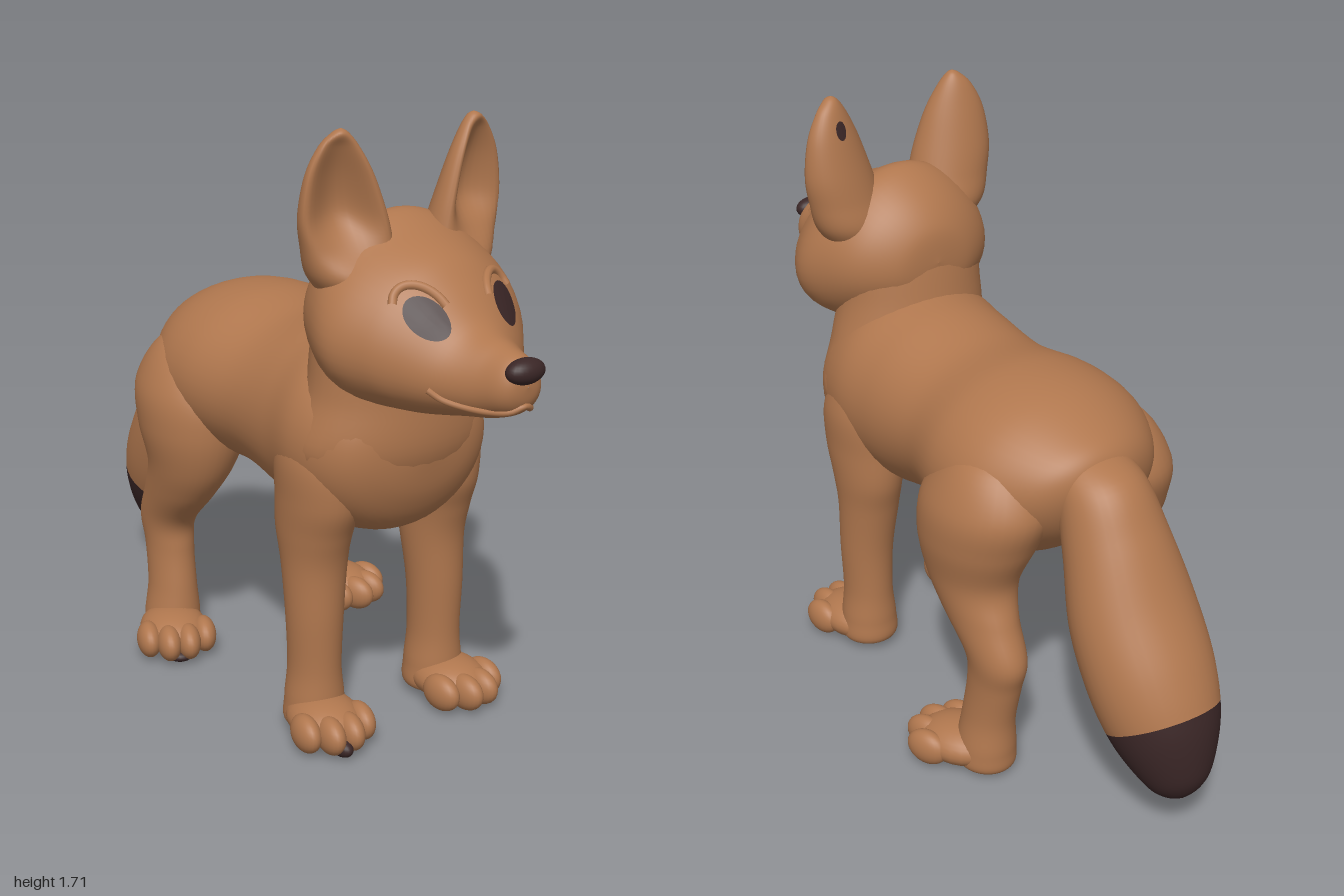
import * as THREE from 'three';

const fur = new THREE.MeshStandardMaterial({ color: 0xb0774e });
fur.name = 'brown fur';
const dark = new THREE.MeshStandardMaterial({ color: 0x3a2626 });
dark.name = 'dark brown';

const HEAD_X = -0.055;

function add(parent, name, geometry, material = fur) {
  const mesh = new THREE.Mesh(geometry, material);
  mesh.name = name;
  parent.add(mesh);
  return mesh;
}

function spline(a, b, c, d, t) {
  return 0.5 * (2 * b + (c - a) * t + (2 * a - 5 * b + 4 * c - d) * t * t + (3 * b - a - 3 * c + d) * t * t * t);
}

// Smooth skin over elliptical sections [x, y, z, halfWidth, halfHeight, dent].
// angle turns the section plane: 0 runs forward, 90 down, -90 up.
function loft(sections, { angle = 0, taper = 0, from = 0, to = sections.length - 1, sides = 36 } = {}) {
  const a = THREE.MathUtils.degToRad(angle);
  const last = sections.length - 1;
  const rows = Math.ceil((to - from) * 7);
  const at = (i, k) => sections[Math.min(Math.max(i, 0), last)][k] ?? 0;
  const pos = [], index = [];
  for (let r = 0; r <= rows; r++) {
    const t = from + (to - from) * r / rows;
    const i = Math.min(Math.floor(t), last - 1);
    const [x, y, z, w, h, dent] = [0, 1, 2, 3, 4, 5].map(k => spline(at(i - 1, k), at(i, k), at(i + 1, k), at(i + 2, k), t - i));
    const rw = Math.max(w, 0.001), rh = Math.max(h, 0.001);
    for (let j = 0; j < sides; j++) {
      const th = j / sides * Math.PI * 2;
      const s = Math.sin(th);
      const v = rh * (s < 0 ? s * (1 - dent * s * s) : s);
      pos.push(x + rw * Math.cos(th) * (1 - taper * s), y + v * Math.cos(a), z + v * Math.sin(a));
      if (r < rows) {
        const p = r * sides + j, q = r * sides + (j + 1) % sides;
        index.push(p, q, p + sides, q, q + sides, p + sides);
      }
    }
  }
  const g = new THREE.BufferGeometry();
  g.setAttribute('position', new THREE.Float32BufferAttribute(pos, 3));
  g.setIndex(index);
  g.computeVertexNormals();
  return g;
}

function ellipsoid(x, y, z, rx, ry, rz) {
  return new THREE.SphereGeometry(1, 24, 16).scale(rx, ry, rz).translate(x, y, z);
}

// Depth of a surface at (x, y), seen from the front (dir 1) or back (dir -1)
function depthAt(mesh, x, y, fallback, dir = 1) {
  const ray = new THREE.Raycaster(new THREE.Vector3(x, y, 3 * dir), new THREE.Vector3(0, 0, -dir));
  const hit = ray.intersectObject(mesh)[0];
  return hit ? hit.point.z : fallback;
}

// Thin oval patch laid on a surface
function patch(mesh, cx, cy, rx, ry, dir = 1) {
  const g = new THREE.RingGeometry(0.001, 1, 28, 6);
  const p = g.attributes.position;
  const mid = depthAt(mesh, cx, cy, 0, dir);
  for (let i = 0; i < p.count; i++) {
    const x = cx + dir * p.getX(i) * rx, y = cy + p.getY(i) * ry;
    p.setXYZ(i, x, y, depthAt(mesh, x, y, mid, dir) + 0.007 * dir);
  }
  g.computeVertexNormals();
  return g;
}

// Soft ridge following a surface through (x, y) points
function ridge(mesh, points, radius) {
  const path = points.map(([x, y]) => new THREE.Vector3(x, y, depthAt(mesh, x, y, 0.75)));
  return new THREE.TubeGeometry(new THREE.CatmullRomCurve3(path), 48, radius, 10);
}

function paw(parent, name, x, z, turn) {
  const g = new THREE.Group();
  g.name = name;
  g.position.set(x, 0, z);
  g.rotation.y = turn;
  add(g, 'pawBase', ellipsoid(0, 0.065, 0.055, 0.1, 0.062, 0.125));
  [-0.083, -0.029, 0.029, 0.083].forEach((tx, i) => {
    const front = i === 1 || i === 2 ? 0.15 : 0.11;
    add(g, 'toe', ellipsoid(tx, 0.06, front, 0.036, 0.052, 0.065));
  });
  parent.add(g);
  return g;
}

export function createModel() {
  const fox = new THREE.Group();
  fox.name = 'fox';

  // Torso, rump to chest
  add(fox, 'body', loft([
    [0, 0.92, -0.59, 0, 0], [0, 0.92, -0.57, 0.11, 0.08], [-0.01, 0.89, -0.5, 0.22, 0.16],
    [-0.015, 0.865, -0.36, 0.31, 0.24], [-0.02, 0.87, -0.2, 0.32, 0.25], [-0.03, 0.86, 0, 0.28, 0.24],
    [-0.03, 0.855, 0.2, 0.285, 0.28], [-0.035, 0.86, 0.35, 0.295, 0.285], [-0.035, 0.85, 0.48, 0.255, 0.235],
    [-0.035, 0.86, 0.55, 0.17, 0.14], [-0.035, 0.86, 0.58, 0, 0],
  ], { sides: 48 }));

  // Neck
  add(fox, 'neck', loft([
    [-0.035, 0.66, 0.38, 0, 0], [-0.035, 0.7, 0.38, 0.18, 0.12], [-0.035, 0.84, 0.385, 0.285, 0.195],
    [-0.04, 1.0, 0.405, 0.245, 0.18], [-0.05, 1.12, 0.41, 0.225, 0.165],
    [-0.055, 1.28, 0.42, 0.21, 0.14], [-0.055, 1.4, 0.43, 0.12, 0.09], [-0.055, 1.43, 0.43, 0, 0],
  ], { angle: -90 }));

  // Head and muzzle
  const head = add(fox, 'head', loft([
    [HEAD_X, 1.24, 0.265, 0, 0], [HEAD_X, 1.24, 0.28, 0.12, 0.1], [HEAD_X, 1.25, 0.35, 0.22, 0.18],
    [HEAD_X, 1.245, 0.45, 0.275, 0.24], [HEAD_X, 1.22, 0.55, 0.295, 0.225], [HEAD_X, 1.2, 0.65, 0.25, 0.2],
    [HEAD_X, 1.175, 0.72, 0.2, 0.165], [HEAD_X, 1.145, 0.8, 0.137, 0.117], [HEAD_X, 1.14, 0.88, 0.09, 0.095],
    [HEAD_X, 1.145, 0.945, 0.066, 0.073], [HEAD_X, 1.15, 0.972, 0.04, 0.045], [HEAD_X, 1.15, 0.98, 0, 0],
  ], { taper: 0.14, sides: 48 }));
  head.updateMatrixWorld();
  add(fox, 'nose', ellipsoid(HEAD_X, 1.187, 0.966, 0.056, 0.033, 0.034), dark);

  // Smile
  const half = [[0.15, 1.115], [0.125, 1.093], [0.09, 1.08], [0.06, 1.078], [0.03, 1.085]];
  add(fox, 'mouth', ridge(head, [
    ...half.map(([x, y]) => [HEAD_X - x, y]), [HEAD_X, 1.1],
    ...half.slice().reverse().map(([x, y]) => [HEAD_X + x, y]),
  ], 0.009));

  for (const s of [1, -1]) {
    const side = s > 0 ? 'left' : 'right';

    // Eye and brow
    const eyeX = HEAD_X + s * 0.122;
    add(fox, side + 'Eye', patch(head, eyeX, 1.28, 0.046, 0.048), dark);
    const brow = [];
    for (let k = 0; k <= 8; k++) {
      const th = 0.3 + k / 8 * 2.5;
      brow.push([eyeX + Math.cos(th) * 0.058, 1.285 + Math.sin(th) * 0.064]);
    }
    add(fox, side + 'Brow', ridge(head, brow, 0.012));

    // Cupped ear, opening forward and outward
    const ear = add(fox, side + 'Ear', loft([
      [-0.05 * s, 1.27, -0.03, 0.08, 0.07], [-0.035 * s, 1.34, -0.025, 0.12, 0.095],
      [-0.015 * s, 1.42, -0.01, 0.12, 0.09, 0.7], [0, 1.5, 0, 0.114, 0.08, 1.4],
      [0.01 * s, 1.6, 0.005, 0.088, 0.058, 1.4], [0.012 * s, 1.67, 0.005, 0.052, 0.036, 0.9],
      [0.008 * s, 1.705, 0.005, 0.02, 0.018], [0.006 * s, 1.715, 0.005, 0, 0],
    ], { angle: -90 }));
    ear.position.set(HEAD_X + s * 0.198, 0, 0.485);
    ear.rotation.y = s * 0.3;
    ear.updateMatrixWorld();
    if (s > 0) add(fox, 'earSpot', patch(ear, 0.155, 1.63, 0.017, 0.026, -1), dark);

    // Front leg
    const fx = x => -0.03 + s * x;
    add(fox, side + 'FrontLeg', loft([
      [fx(0.19), 0.97, 0.33, 0, 0], [fx(0.19), 0.93, 0.33, 0.07, 0.08], [fx(0.195), 0.82, 0.34, 0.105, 0.14],
      [fx(0.195), 0.7, 0.34, 0.105, 0.145], [fx(0.2), 0.6, 0.325, 0.095, 0.125], [fx(0.2), 0.5, 0.325, 0.087, 0.1],
      [fx(0.205), 0.35, 0.335, 0.078, 0.085], [fx(0.205), 0.2, 0.335, 0.073, 0.08],
      [fx(0.205), 0.1, 0.335, 0.083, 0.085], [fx(0.205), 0.03, 0.335, 0.08, 0.08], [fx(0.205), 0.01, 0.335, 0, 0],
    ], { angle: 90 }));
    paw(fox, side + 'FrontPaw', fx(0.21), 0.345, s * 0.12);

    // Hind leg with thigh and hock
    const hx = x => -0.015 + s * x;
    add(fox, side + 'HindLeg', loft([
      [hx(0.16), 1.0, -0.33, 0, 0], [hx(0.17), 0.96, -0.33, 0.12, 0.12], [hx(0.2), 0.84, -0.315, 0.165, 0.205],
      [hx(0.225), 0.72, -0.295, 0.15, 0.195], [hx(0.24), 0.6, -0.29, 0.115, 0.155],
      [hx(0.25), 0.5, -0.34, 0.09, 0.135], [hx(0.25), 0.39, -0.415, 0.075, 0.105],
      [hx(0.25), 0.3, -0.41, 0.068, 0.09], [hx(0.255), 0.18, -0.39, 0.07, 0.085],
      [hx(0.26), 0.08, -0.385, 0.082, 0.09], [hx(0.26), 0.02, -0.385, 0.075, 0.08], [hx(0.26), 0.01, -0.385, 0, 0],
    ], { angle: 90 }));
    paw(fox, side + 'HindPaw', hx(0.28), -0.365, s * 0.35);
  }

  // Dark pads under the right paws
  add(fox, 'frontPad', ellipsoid(-0.268, 0.032, 0.515, 0.026, 0.026, 0.045), dark);
  add(fox, 'hindPad', ellipsoid(-0.345, 0.022, -0.225, 0.04, 0.02, 0.045), dark);

  // Bushy tail with a dark tip
  const tail = [
    [0, 0.98, -0.46, 0.1, 0.06], [0, 0.9, -0.555, 0.125, 0.115], [0, 0.77, -0.625, 0.15, 0.135],
    [0, 0.6, -0.7, 0.18, 0.155], [0, 0.44, -0.79, 0.18, 0.163], [0, 0.31, -0.86, 0.152, 0.148],
    [0, 0.2, -0.915, 0.1, 0.098], [0, 0.15, -0.935, 0.055, 0.055], [0, 0.125, -0.94, 0, 0],
  ];
  add(fox, 'tail', loft(tail, { angle: 120, to: 4.75 }));
  add(fox, 'tailTip', loft(tail, { angle: 120, from: 4.75 }), dark);

  return fox;
}
